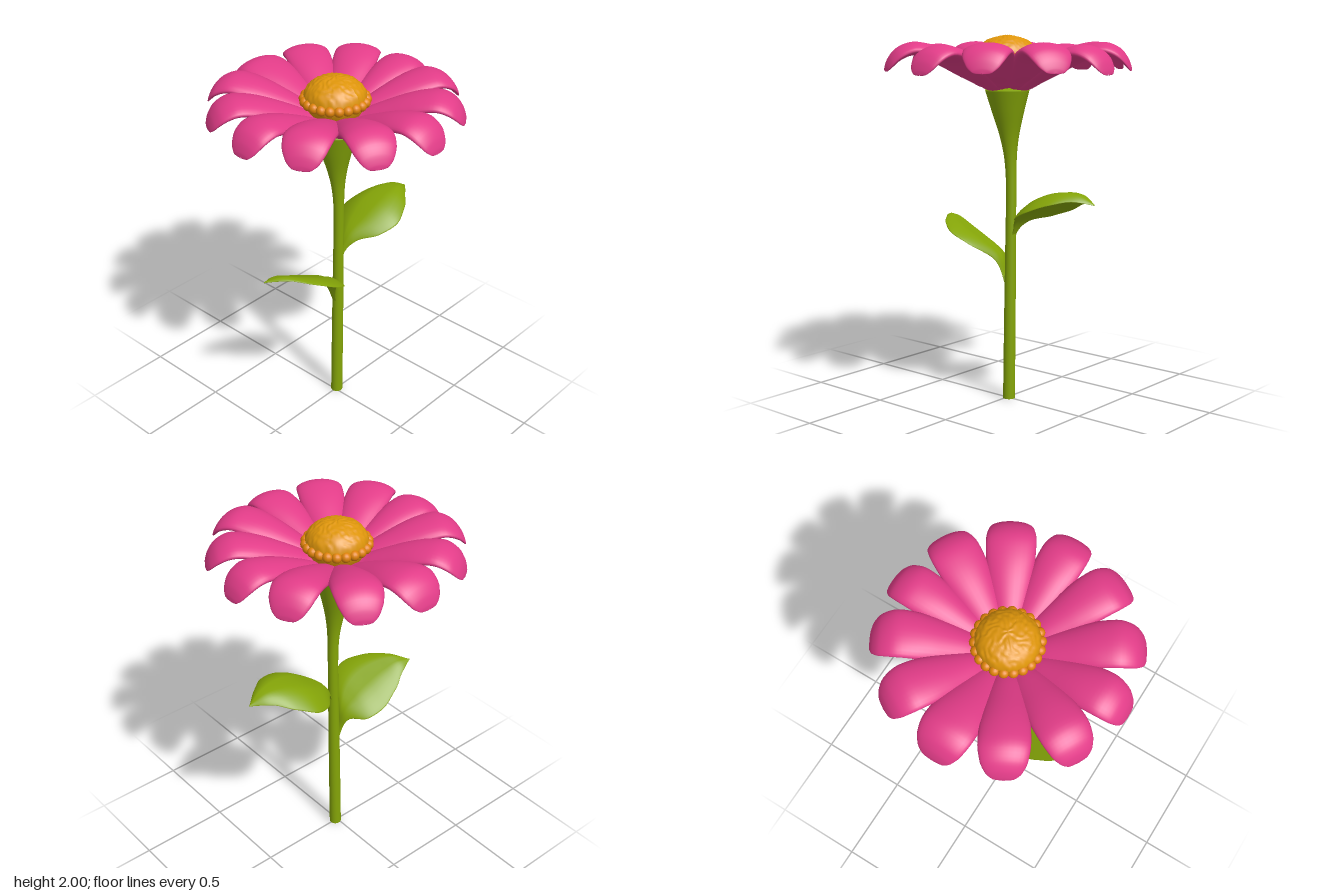
import * as THREE from 'three';

const mat = (name, color) => {
  const m = new THREE.MeshStandardMaterial({ color });
  m.name = name;
  return m;
};

// Closed blade along +x, lofted through stations [x, y, halfWidth, halfThickness, z].
// arch lowers both edges, tilt raises the +z edge, groove sinks the midrib.
function bladeGeometry(stations, { arch = 0, tilt = 0, groove = 0, steps = 40, sides = 28 } = {}) {
  const spine = new THREE.CatmullRomCurve3(stations.map(s => new THREE.Vector3(s[0], s[1], s[4] ?? 0)));
  const size = new THREE.CatmullRomCurve3(stations.map(s => new THREE.Vector3(s[2], s[3], 0)), false, 'catmullrom', 0.4);
  const pos = [], index = [];
  for (let i = 0; i <= steps; i++) {
    const p = spine.getPoint(i / steps), q = size.getPoint(i / steps);
    const w = Math.max(q.x, 0.001), t = Math.max(q.y, 0.001);
    for (let j = 0; j < sides; j++) {
      const a = (j / sides) * Math.PI * 2, s = Math.cos(a);
      const fold = tilt * s - arch * s * s - groove * Math.exp(-30 * s * s);
      pos.push(p.x, p.y + t * Math.sin(a) + w * fold, p.z + w * s);
    }
  }
  for (let i = 0; i < steps; i++) {
    for (let j = 0; j < sides; j++) {
      const k = (j + 1) % sides;
      const a = i * sides + j, b = i * sides + k, c = a + sides, d = b + sides;
      index.push(a, c, b, b, c, d);
    }
  }
  const g = new THREE.BufferGeometry();
  g.setAttribute('position', new THREE.Float32BufferAttribute(pos, 3));
  g.setIndex(index);
  g.computeVertexNormals();
  return g;
}

export function createModel() {
  const model = new THREE.Group();
  model.name = 'flower';
  const green = mat('leaf green', 0x84a408);
  const pink = mat('petal pink', 0xe23c88);
  const amber = mat('disc amber', 0xde950a);
  const orange = mat('floret orange', 0xde8208);

  const add = (parent, name, geometry, material) => {
    const mesh = new THREE.Mesh(geometry, material);
    mesh.name = name;
    parent.add(mesh);
    return mesh;
  };

  // Stem flaring into the cup under the petals, gently bent sideways
  const profile = new THREE.SplineCurve([
    [0.033, 0], [0.032, 0.4], [0.03, 0.8], [0.028, 1.15], [0.033, 1.33],
    [0.052, 1.46], [0.089, 1.6], [0.12, 1.71],
  ].map(p => new THREE.Vector2(...p))).getPoints(50);
  const stem = new THREE.LatheGeometry(
    [new THREE.Vector2(0, 0), new THREE.Vector2(0.033, 0), ...profile, new THREE.Vector2(0.1, 1.712), new THREE.Vector2(0, 1.712)], 28);
  const sp = stem.attributes.position;
  for (let i = 0; i < sp.count; i++) {
    const y = sp.getY(i);
    const bend = (0.013 + 0.015 * Math.min(y / 1.1, 1)) * (1 - THREE.MathUtils.smoothstep(y, 1.2, 1.75));
    sp.setX(i, sp.getX(i) + bend);
  }
  add(model, 'stem', stem, green);

  // Leaves: round stalk widening into a pointed blade
  add(model, 'leftLeaf', bladeGeometry([
    [0.03, 0.85, 0.014, 0.014], [0.055, 0.95, 0.018, 0.016], [0.1, 1.03, 0.06, 0.016],
    [0.19, 1.105, 0.158, 0.011], [0.29, 1.16, 0.196, 0.01], [0.4, 1.188, 0.155, 0.008],
    [0.5, 1.182, 0.075, 0.007], [0.588, 1.138, 0.002, 0.003],
  ], { arch: 0.42, tilt: 0.08, groove: 0.06 }), green);
  const rightLeaf = add(model, 'rightLeaf', bladeGeometry([
    [-0.02, 0.56, 0.014, 0.014], [0.015, 0.68, 0.016, 0.018], [0.045, 0.785, 0.05, 0.018, -0.005],
    [0.12, 0.868, 0.155, 0.011, -0.025], [0.22, 0.922, 0.18, 0.01, -0.03], [0.32, 0.963, 0.14, 0.008, -0.01],
    [0.41, 0.988, 0.068, 0.007, 0.025], [0.486, 0.974, 0.002, 0.003, 0.06],
  ], { arch: 0.26, tilt: -0.33, groove: 0.06 }), green);
  rightLeaf.rotation.y = Math.PI;

  // Twelve plump petals rising from the cup and drooping at blunt tips
  const petalGeometry = bladeGeometry([
    [0.05, 1.758, 0.05, 0.04], [0.13, 1.768, 0.07, 0.054], [0.2, 1.801, 0.088, 0.055],
    [0.27, 1.834, 0.1, 0.054], [0.35, 1.872, 0.111, 0.049], [0.44, 1.907, 0.12, 0.04],
    [0.53, 1.921, 0.122, 0.034], [0.6, 1.893, 0.109, 0.033], [0.64, 1.852, 0.084, 0.028],
    [0.659, 1.82, 0.05, 0.014], [0.663, 1.808, 0.002, 0.002],
  ], { arch: 0.08 });
  const petals = new THREE.Group();
  petals.name = 'petals';
  model.add(petals);
  for (let i = 0; i < 12; i++) {
    const petal = add(petals, 'petal', petalGeometry, pink);
    // Petals next to the x axis lean slightly towards it
    const lean = [0, -1.2, 0, 0, 0, 1.2][i % 6];
    petal.rotation.y = THREE.MathUtils.degToRad(i * 30 + lean);
    petal.scale.z = { 0: 0.92, 3: 1.08, 6: 0.94, 9: 0.95 }[i] ?? 1;
    petal.position.y = i % 3 ? 0.006 : -0.006;
  }

  // Domed centre with a pebbled surface
  const dome = new THREE.LatheGeometry(new THREE.SplineCurve([
    [0.13, 1.8], [0.154, 1.85], [0.16, 1.89], [0.147, 1.932], [0.113, 1.966], [0.06, 1.989], [0, 1.997],
  ].map(p => new THREE.Vector2(...p))).getPoints(40), 72);
  const dp = dome.attributes.position;
  for (let i = 0; i < dp.count; i++) {
    const x = dp.getX(i), y = dp.getY(i), z = dp.getZ(i);
    const bump = 0.003 * Math.sin(x * 110 + 2 * Math.sin(z * 70)) * Math.sin(z * 120 + 2 * Math.sin(x * 80));
    const f = 1 + bump * 5;
    dp.setXYZ(i, x * f, y + bump, z * f);
  }
  dome.computeVertexNormals();
  add(model, 'centreDome', dome, amber);

  // Ring of small florets around the dome
  const florets = new THREE.Group();
  florets.name = 'florets';
  model.add(florets);
  const bud = new THREE.SphereGeometry(0.027, 14, 10);
  for (let i = 0; i < 22; i++) {
    const a = (i / 22) * Math.PI * 2;
    add(florets, 'floret', bud, orange).position.set(0.158 * Math.cos(a), 1.878, 0.158 * Math.sin(a));
  }
  return model;
}
